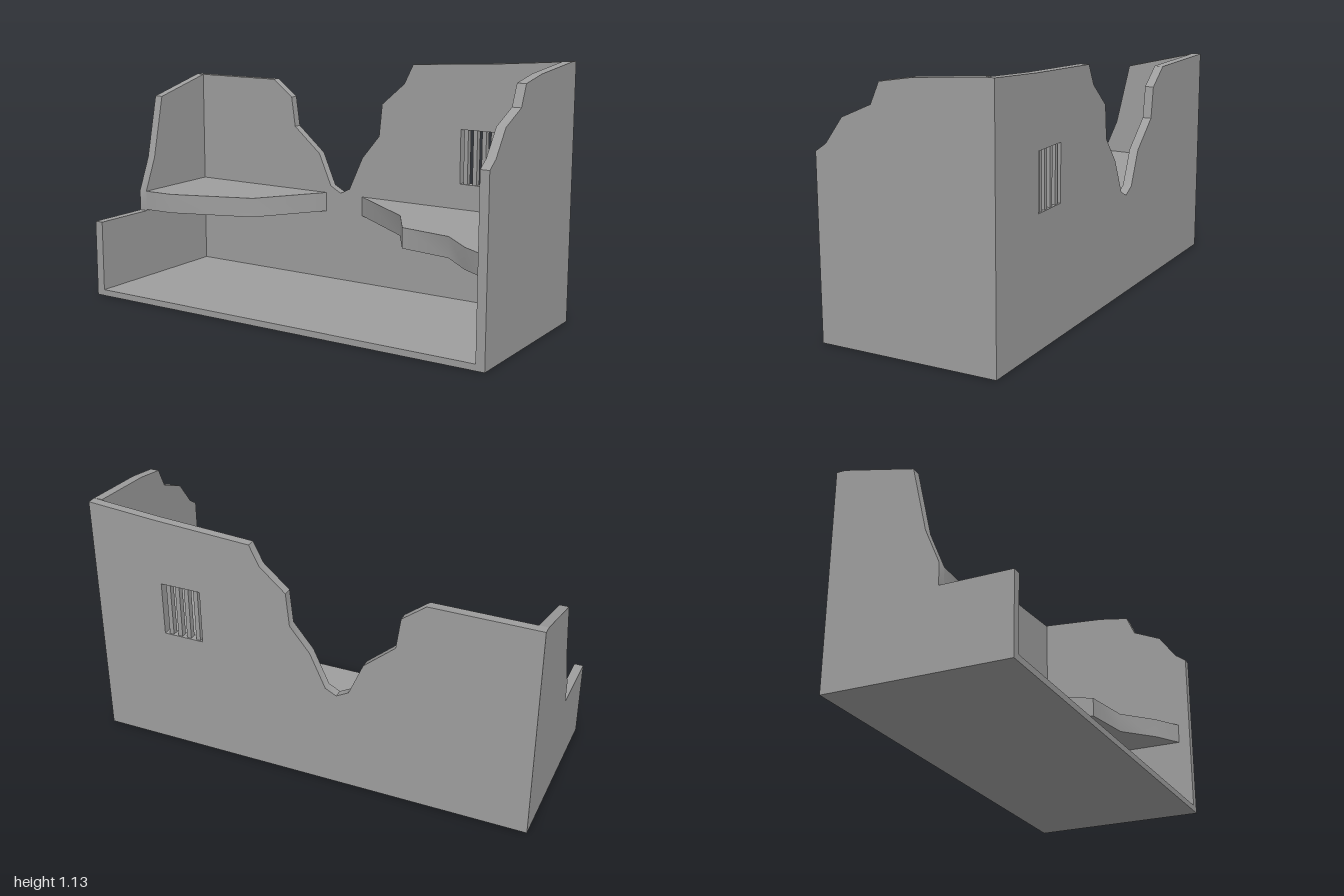
import * as THREE from 'three';
import { toCreasedNormals } from 'three/addons/utils/BufferGeometryUtils.js';

const material = new THREE.MeshStandardMaterial({ color: 0x9e9e9e });

const toPoints = (points) => points.map(([a, b]) => new THREE.Vector2(a, b));

// Extruded slab: crisp rims, softened breaks along the jagged edges
function slab(name, shape, depth) {
  const geometry = new THREE.ExtrudeGeometry(shape, { depth, bevelEnabled: false });
  const mesh = new THREE.Mesh(toCreasedNormals(geometry, 0.7), material);
  mesh.name = name;
  return mesh;
}

// Side wall: profile in (z, y), thickness running towards -x from outer x
function sideWall(name, points, x) {
  const wall = slab(name, new THREE.Shape(toPoints(points)), 0.04);
  wall.geometry.rotateY(-Math.PI / 2);
  wall.position.x = x;
  return wall;
}

// Broken upper floor: outline in (x, z), laid flat
function ledge(name, points) {
  const mesh = slab(name, new THREE.Shape(toPoints(points.map(([x, z]) => [x, -z]))), 0.09);
  mesh.geometry.rotateX(-Math.PI / 2);
  mesh.position.y = 0.355;
  return mesh;
}

function box(name, size, position) {
  const mesh = new THREE.Mesh(new THREE.BoxGeometry(...size), material);
  mesh.name = name;
  mesh.position.set(...position);
  return mesh;
}

export function createModel() {
  const group = new THREE.Group();
  group.name = 'ruinedBuilding';

  // Ground floor
  group.add(box('floor', [1.92, 0.028, 0.76], [0, 0.014, 0.02]));

  // Back wall with a jagged breach and a window opening
  const backShape = new THREE.Shape(toPoints([
    [-1, 0], [1, 0], [1, 1.13], [0.68, 1.105], [0.245, 1.08], [0.2, 0.99],
    [0.085, 0.89], [0.07, 0.74], [-0.02, 0.63], [-0.09, 0.475], [-0.14, 0.45],
    [-0.195, 0.48], [-0.26, 0.63], [-0.4, 0.75], [-0.42, 0.89], [-0.525, 0.97], [-1, 0.97],
  ]));
  backShape.holes.push(new THREE.Path(toPoints([[0.49, 0.56], [0.49, 0.805], [0.675, 0.805], [0.675, 0.56]])));
  const backWall = slab('backWall', backShape, 0.04);
  backWall.position.z = -0.4;
  group.add(backWall);

  // Upright window bars, set back inside the opening
  for (const x of [0.514, 0.559, 0.602, 0.645]) {
    group.add(box('windowBar', [0.02, 0.245, 0.027], [x, 0.6825, -0.38]));
  }

  // Side walls
  group.add(sideWall('rightWall', [
    [-0.36, 0], [0.4, 0], [0.4, 0.35], [0.09, 0.35], [0.09, 0.445],
    [0.025, 0.6], [-0.04, 0.89], [-0.36, 0.97],
  ], -0.96));
  group.add(sideWall('leftWall', [
    [-0.36, 0], [0.4, 0], [0.4, 0.785], [0.35, 0.82], [0.27, 0.93],
    [0.135, 0.99], [0.095, 1.08], [-0.05, 1.105], [-0.36, 1.13],
  ], 1));

  // Remains of the upper floor
  group.add(ledge('rightUpperFloor', [
    [-0.96, -0.36], [-0.96, 0.09], [-0.81, 0.085], [-0.43, -0.05], [-0.22, -0.36],
  ]));
  group.add(ledge('leftUpperFloor', [
    [-0.02, -0.36], [0.335, -0.1], [0.46, 0.1], [0.7, 0.14],
    [0.84, 0.27], [0.96, 0.345], [0.96, -0.36],
  ]));

  return group;
}
